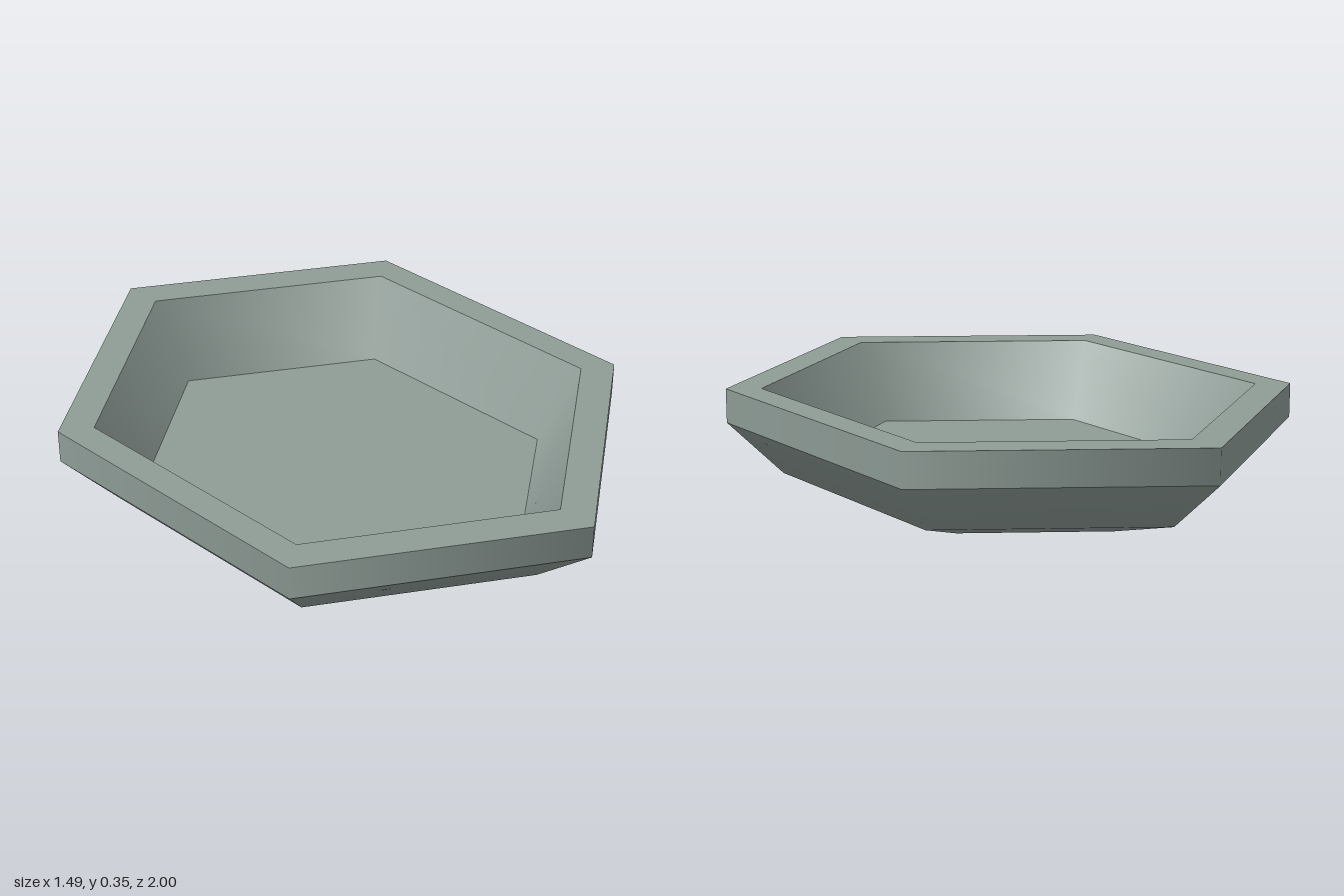
import * as THREE from 'three';

const SIDES = 6;
const WIDTH = 0.745 / Math.cos(Math.PI / 6); // narrows the hexagon across x

// Each section is [radius, height] pairs; sections meet at sharp edges.
const SECTIONS = {
  underside: [[0, 0], [0.53, 0]],
  outerBowl: [[0.53, 0], [0.805, 0.078], [1, 0.245]],
  rimBand: [[1, 0.245], [1, 0.355]],
  rimTop: [[1, 0.355], [0.875, 0.355]],
  innerWall: [[0.875, 0.355], [0.727, 0.1]],
  innerFloor: [[0.727, 0.1], [0, 0.1]],
};

export function createModel() {
  const group = new THREE.Group();
  group.name = 'hexagonalBowl';
  const stone = new THREE.MeshStandardMaterial({ color: 0x8f9d97 });
  stone.name = 'grey green';

  // Six-sided rings, smooth around the corners
  for (const [name, profile] of Object.entries(SECTIONS)) {
    const points = profile.map(([r, y]) => new THREE.Vector2(r, y));
    const geometry = new THREE.LatheGeometry(points, SIDES);
    geometry.scale(WIDTH, 1, 1);
    const mesh = new THREE.Mesh(geometry, stone);
    mesh.name = name;
    group.add(mesh);
  }
  return group;
}
